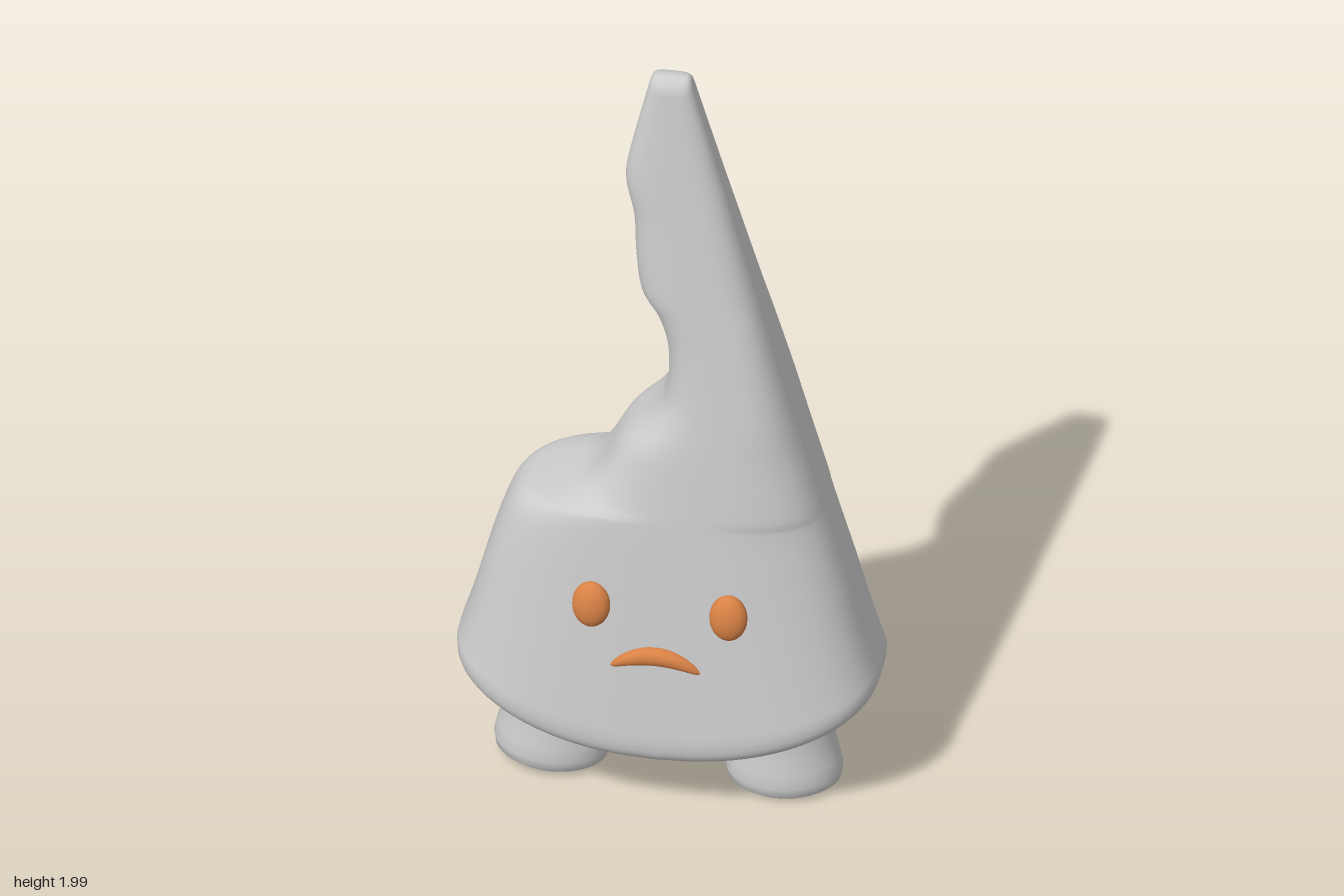
import * as THREE from 'three';

const grey = new THREE.MeshStandardMaterial({ color: 0xcccccc });
const orange = new THREE.MeshStandardMaterial({ color: 0xd98246 });
const clamp = THREE.MathUtils.clamp;

function part(name, geometry, material, x = 0, y = 0, z = 0) {
  const mesh = new THREE.Mesh(geometry, material);
  mesh.name = name;
  mesh.position.set(x, y, z);
  return mesh;
}

// Straight right edge and front-to-back taper of the body
const rightEdge = y => 0.05 + (1.98 - y) * 0.2785;
const halfDepth = y => 0.25 - (y - 0.25) * 0.1235;

// Horizontal cross-sections from the underside to the tip: [y, left, right, half depth, lift at the ends]
function bodySections() {
  const sections = [];
  // rounded underside
  for (let i = 0; i < 16; i++) {
    const a = (i / 16) * Math.PI / 2;
    const s = Math.sin(a) ** 0.6;
    sections.push([0.155 + 0.085 * (1 - Math.cos(a) ** 0.6), -0.5 * s, 0.5 * s, 0.25 * s, 0.125]);
  }
  // bitten left edge
  const edge = new THREE.SplineCurve([
    [-0.5, 0.365], [-0.468, 0.48], [-0.435, 0.6], [-0.405, 0.7], [-0.375, 0.775], [-0.335, 0.815],
    [-0.28, 0.828], [-0.21, 0.848], [-0.16, 0.9], [-0.11, 0.99], [-0.045, 1.06], [-0.01, 1.12],
    [0, 1.2], [-0.006, 1.28], [-0.03, 1.35], [-0.067, 1.41], [-0.08, 1.5], [-0.086, 1.61],
    [-0.106, 1.71], [-0.093, 1.8], [-0.052, 1.975],
  ].map(p => new THREE.Vector2(...p)));
  for (const p of edge.getSpacedPoints(110)) {
    const lift = 0.125 * (1 - clamp((p.y - 0.365) / 0.235, 0, 1));
    const y = p.y - lift;
    sections.push([y, p.x, rightEdge(p.y), halfDepth(y), lift]);
  }
  // blunt tip
  sections.push([1.988, -0.048, 0.048, 0.028, 0], [1.996, -0.044, 0.044, 0.019, 0],
    [2, -0.036, 0.036, 0.009, 0], [2, 0, 0, 0, 0]);
  return sections;
}

// Skin rounded-rectangle sections into one smooth closed surface
function bodyGeometry() {
  const sides = 80, positions = [], index = [];
  const power = v => Math.sign(v) * Math.abs(v) ** (2 / 3.1);
  const sections = bodySections();
  sections.forEach(([y, left, right, depth, lift], j) => {
    for (let i = 0; i < sides; i++) {
      const a = (i / sides) * Math.PI * 2;
      const x = (left + right) / 2 + (right - left) / 2 * power(Math.cos(a));
      positions.push(x, y + lift * (x / 0.5) ** 2, depth * power(Math.sin(a)));
      if (j === sections.length - 1) continue;
      const p = j * sides + i, q = j * sides + (i + 1) % sides;
      index.push(p, p + sides, q, q, p + sides, q + sides);
    }
  });
  const g = new THREE.BufferGeometry();
  g.setAttribute('position', new THREE.Float32BufferAttribute(positions, 3));
  g.setIndex(index);
  g.computeVertexNormals();
  return g;
}

// Stubby leg flaring into a flat foot
function legGeometry() {
  const profile = [[0, 0], [0.118, 0], [0.118, 0], [0.132, 0.01], [0.138, 0.035], [0.133, 0.07],
    [0.124, 0.11], [0.12, 0.16], [0.122, 0.22], [0.125, 0.3]];
  const g = new THREE.LatheGeometry(profile.map(p => new THREE.Vector2(...p)), 40);
  return g.scale(1, 1, 0.82);
}

// Frowning mouth: a flattened ellipsoid bent downwards at both ends
function mouthGeometry() {
  const g = new THREE.SphereGeometry(1, 40, 20).rotateZ(Math.PI / 2).scale(0.108, 0.024, 0.02);
  const pos = g.attributes.position;
  for (let i = 0; i < pos.count; i++) pos.setY(i, pos.getY(i) - 0.036 * (pos.getX(i) / 0.108) ** 2);
  g.computeVertexNormals();
  return g;
}

export function createModel() {
  const model = new THREE.Group();
  model.name = 'bittenConeCreature';
  model.add(part('body', bodyGeometry(), grey));

  const leftLeg = part('leftLeg', legGeometry(), grey, 0.268, 0.01, 0);
  leftLeg.rotation.z = 0.03;
  const rightLeg = part('rightLeg', legGeometry(), grey, -0.285, 0.02, 0);
  rightLeg.rotation.z = -0.07;
  model.add(leftLeg, rightLeg);

  const eye = new THREE.SphereGeometry(1, 32, 20).scale(0.045, 0.059, 0.03);
  for (const [name, x] of [['leftEye', 0.17], ['rightEye', -0.155]]) {
    const mesh = part(name, eye, orange, x, 0.597, 0.206);
    mesh.rotation.x = -0.12;
    model.add(mesh);
  }
  model.add(part('mouth', mouthGeometry(), orange, 0, 0.476, 0.222));
  return model;
}
